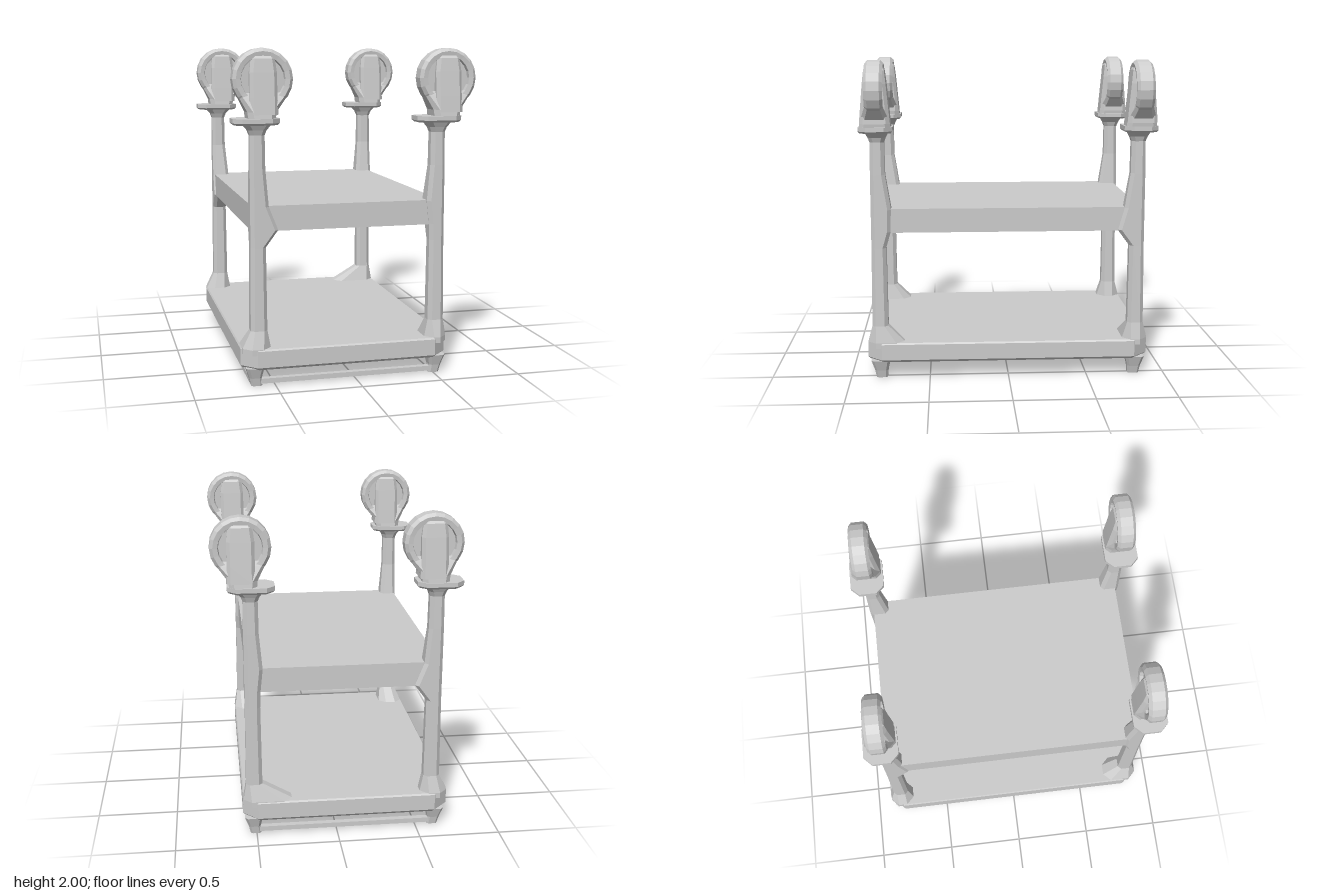
import * as THREE from 'three';

const material = new THREE.MeshStandardMaterial({ color: 0xcccccc, flatShading: true });

// Lofts chamfered rectangles stacked upwards; each section is [y, x0, x1, z0, z1, chamfer]
function loft(sections) {
  const rings = sections.map(([y, x0, x1, z0, z1, c]) => [
    [x1, z0 + c], [x1, z1 - c], [x1 - c, z1], [x0 + c, z1],
    [x0, z1 - c], [x0, z0 + c], [x0 + c, z0], [x1 - c, z0],
  ].map(([x, z]) => new THREE.Vector3(x, y, z)));
  const points = [];
  const last = rings.length - 1;
  for (let r = 0; r < last; r++) {
    for (let i = 0; i < 8; i++) {
      const j = (i + 1) % 8;
      const [a, b, c, d] = [rings[r][i], rings[r][j], rings[r + 1][j], rings[r + 1][i]];
      points.push(a, d, c, a, c, b);
    }
  }
  for (let i = 1; i < 7; i++) {
    points.push(rings[0][0], rings[0][i], rings[0][i + 1]);
    points.push(rings[last][0], rings[last][i + 1], rings[last][i]);
  }
  const geometry = new THREE.BufferGeometry().setFromPoints(points);
  geometry.computeVertexNormals();
  return geometry;
}

// Section around a centre with half sizes
const around = (y, cx, cz, hx, hz, c) => [y, cx - hx, cx + hx, cz - hz, cz + hz, c];

function add(parent, name, geometry, x = 0, y = 0, z = 0) {
  const mesh = new THREE.Mesh(geometry, material);
  mesh.name = name;
  mesh.position.set(x, y, z);
  parent.add(mesh);
  return mesh;
}

const bar = (parent, name, x0, x1, y0, y1, z0, z1) =>
  add(parent, name, new THREE.BoxGeometry(x1 - x0, y1 - y0, z1 - z0),
    (x0 + x1) / 2, (y0 + y1) / 2, (z0 + z1) / 2);

// Post with flared base, shelf bracket and caster collar
function addPost(parent, sx, sz) {
  const cx = sx < 0 ? -0.595 : 0.51;
  const cz = sz * 0.81;
  const section = (y, outX, inX, outZ, inZ, c) => {
    const xs = [cx + sx * outX, cx - sx * inX].sort((a, b) => a - b);
    const zs = [cz + sz * outZ, cz - sz * inZ].sort((a, b) => a - b);
    return [y, ...xs, ...zs, c];
  };
  const baseX = sx > 0 && sz < 0 ? 0.23 : 0.07;
  const baseZ = sz > 0 ? 0.15 : 0.08;
  const shelfX = sx < 0 ? 0.12 : 0.05;
  const shelfZ = sz < 0 ? 0.12 : 0.075;
  const p = 0.046;
  add(parent, 'post', loft([
    section(0.2, sx < 0 ? 0.1 : 0.068, baseX, 0.078, baseZ, 0.05),
    section(0.235, sx < 0 ? 0.1 : 0.068, baseX, 0.078, baseZ, 0.05),
    section(0.34, 0.05, 0.05, 0.05, 0.05, 0.022),
    section(0.84, p, p, p, p, 0.022),
    section(0.94, p, shelfX, p, shelfZ, 0.022),
    section(1.08, p, 0.065, p, 0.08, 0.022),
    section(1.3, p, p, p, p, 0.022),
    section(1.5, 0.044, 0.044, 0.044, 0.044, 0.022),
    section(1.53, 0.055, 0.055, 0.055, 0.055, 0.025),
    section(1.57, 0.09, 0.09, 0.075, 0.075, 0.035),
  ]));
}

// Wheel with a raised rim and recessed faces
function wheelGeometry() {
  const profile = [
    [0, -0.03], [0.125, -0.03], [0.13, -0.052], [0.158, -0.056], [0.177, -0.038],
    [0.177, 0.038], [0.158, 0.056], [0.13, 0.052], [0.125, 0.03], [0, 0.03],
  ].map(([r, h]) => new THREE.Vector2(r, h));
  return new THREE.LatheGeometry(profile, 20).rotateX(Math.PI / 2);
}

function addCaster(parent, sx, sz) {
  const caster = new THREE.Group();
  caster.name = 'caster';
  parent.add(caster);
  const plateX = sx < 0 ? -0.605 : 0.505;
  const x = sx < 0 ? -0.563 : 0.56;
  const z = sz * 0.815;
  add(caster, 'mountingPlate', loft([
    around(1.56, plateX, z, 0.125, 0.095, 0.045),
    around(1.572, plateX, z, 0.138, 0.105, 0.05),
    around(1.598, plateX, z, 0.138, 0.105, 0.05),
  ]));
  // Swivel hood flaring out to the wheel
  add(caster, 'hood', loft([
    around(1.595, x - 0.01, z, 0.08, 0.095, 0.03),
    around(1.635, x - 0.01, z, 0.085, 0.09, 0.03),
    around(1.72, x, z, 0.14, 0.056, 0.02),
    around(1.745, x, z, 0.14, 0.045, 0.02),
  ]));
  add(caster, 'fork', loft([
    around(1.62, x, z, 0.085, 0.093, 0.025),
    around(1.72, x, z, 0.08, 0.084, 0.02),
    around(1.86, x, z, 0.08, 0.071, 0.02),
    around(1.94, x, z, 0.07, 0.062, 0.02),
    around(1.965, x, z, 0.055, 0.045, 0.015),
  ]));
  add(caster, 'wheel', wheelGeometry(), x, 1.823, z);
}

export function createModel() {
  const cart = new THREE.Group();
  cart.name = 'cart';

  // Lower tray
  add(cart, 'lowerTray', loft([
    [0.11, -0.69, 0.57, -0.88, 0.88, 0.09],
    [0.125, -0.702, 0.582, -0.892, 0.892, 0.09],
    [0.225, -0.702, 0.582, -0.892, 0.892, 0.09],
    [0.235, -0.695, 0.575, -0.885, 0.885, 0.09],
  ]));

  // Middle shelf: panel with a hanging rim
  const shelf = new THREE.Group();
  shelf.name = 'middleShelf';
  cart.add(shelf);
  const [x0, x1, zEdge, t] = [-0.63, 0.535, 0.83, 0.03];
  bar(shelf, 'shelfPanel', x0, x1, 1.02, 1.085, -zEdge, zEdge);
  for (const s of [-1, 1]) {
    const z = s * (zEdge - t / 2);
    bar(shelf, 'shelfEndRim', x0, x1, 0.935, 1.02, z - t / 2, z + t / 2);
    const x = s < 0 ? x0 : x1 - t;
    bar(shelf, 'shelfSideRim', x, x + t, 0.935, 1.02, -zEdge + t, zEdge - t);
  }

  // Posts, casters and rail feet at the four corners
  for (const sx of [-1, 1]) {
    for (const sz of [-1, 1]) {
      addPost(cart, sx, sz);
      addCaster(cart, sx, sz);
      const fx = sx < 0 ? -0.61 : 0.505;
      add(cart, 'railFoot', loft([
        around(0, fx, sz * 0.805, 0.033, 0.035, 0.012),
        around(0.05, fx + sx * 0.008, sz * 0.807, 0.037, 0.042, 0.014),
        around(0.115, fx + sx * 0.012, sz * 0.81, 0.055, 0.06, 0.018),
      ]));
    }
  }

  // Three-sided rail under the tray, open on one long side
  for (const s of [-1, 1]) {
    bar(cart, 'endRail', -0.64, 0.53, 0.012, 0.042, s * 0.82 - 0.018, s * 0.82 + 0.018);
  }
  bar(cart, 'sideRail', -0.645, -0.61, 0.004, 0.032, -0.82, 0.82);

  return cart;
}
